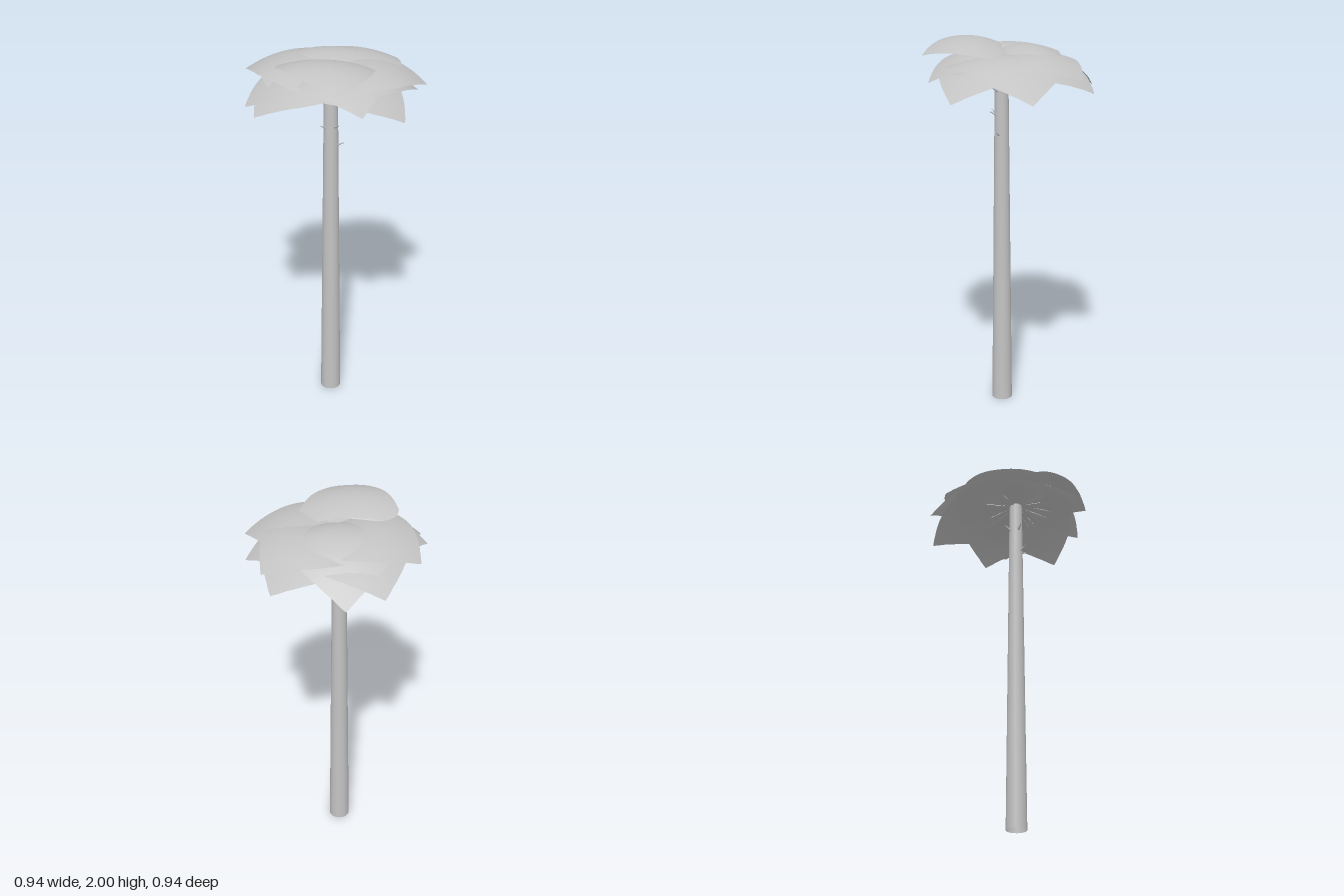
import * as THREE from 'three';

const grey = new THREE.MeshStandardMaterial({ color: 0xc3c3c3, side: THREE.DoubleSide });
grey.name = 'light grey';

const CX = -0.02, CZ = 0.03; // trunk axis

// Heart-shaped leaf outline: [degrees from midrib, radius / length]
const OUTLINE = [[0, 1], [8, 0.92], [16, 0.86], [24, 0.81], [34, 0.765], [50, 0.69],
  [62, 0.66], [72, 0.65], [81, 0.6], [88, 0.5], [93, 0.38], [96, 0.1]];

function outlineRadius(deg) {
  const a = Math.abs(deg);
  for (let i = 1; i < OUTLINE.length; i++) {
    const [a0, r0] = OUTLINE[i - 1], [a1, r1] = OUTLINE[i];
    if (a <= a1) return r0 + (r1 - r0) * (a - a0) / (a1 - a0);
  }
  return OUTLINE[OUTLINE.length - 1][1];
}

// Domed leaf from the crown centre at height y0 to the tip at (tx, ty, tz);
// roll lifts one side, lean makes that side's lobe larger
function leafGeometry(tx, ty, tz, y0, arch, roll = 0, lean = 0) {
  const length = Math.hypot(tx - CX, tz - CZ);
  const heading = Math.atan2(tz - CZ, tx - CX);
  const slope = (ty - y0) / length + arch * length;
  const geo = new THREE.PlaneGeometry(1, 1, 48, 10);
  const pos = geo.attributes.position;
  for (let i = 0; i < pos.count; i++) {
    const deg = pos.getX(i) * 192;
    const phi = THREE.MathUtils.degToRad(deg);
    const edge = length * outlineRadius(deg) * (1 + lean * Math.sin(phi));
    const r = edge * Math.max(pos.getY(i) + 0.5, 0.01);
    const along = r * Math.cos(phi), across = r * Math.sin(phi);
    pos.setXYZ(i,
      CX + r * Math.cos(heading + phi),
      y0 + slope * along - arch * along * along + roll * across - 0.7 * across * across,
      CZ + r * Math.sin(heading + phi));
  }
  geo.computeVertexNormals();
  return geo;
}

// tip x, y, z, base height, arch, roll, lean
const LEAVES = [
  // upper leaves
  [-0.27, 1.92, 0.355, 1.957, 1.25, 0.12, 0.15],
  [0.22, 1.73, -0.41, 1.932, 1.7],
  [-0.22, 1.845, -0.395, 1.922, 1.15],
  [0.47, 1.83, -0.045, 1.9, 1.15],
  [0.34, 1.82, 0.355, 1.905, 1.15],
  // lower leaves
  [-0.475, 1.76, -0.035, 1.9, 1.2],
  [0.04, 1.77, -0.475, 1.895, 1.2],
  [-0.17, 1.80, 0.405, 1.915, 1.6],
  [0.06, 1.73, 0.47, 1.89, 1.25],
  [0.47, 1.755, -0.13, 1.888, 1.15],
  [0.40, 1.74, 0.245, 1.89, 1.25],
  [-0.435, 1.77, -0.15, 1.89, 1.2],
];

// heading in degrees (0 = +x, 90 = +z) and height of each stub
const TWIGS = [[180, 1.58], [100, 1.585], [70, 1.48], [205, 1.71], [85, 1.71], [285, 1.71]];

export function createModel() {
  const group = new THREE.Group();
  group.name = 'palmTree';

  // Tapered hollow trunk
  const trunk = new THREE.Mesh(
    new THREE.CylinderGeometry(0.035, 0.055, 1.9, 20, 1, true), grey);
  trunk.position.set(CX, 0.95, CZ);
  trunk.name = 'trunk';
  group.add(trunk);

  // Crown of overlapping leaves
  const crown = new THREE.Group();
  crown.name = 'crown';
  for (const spec of LEAVES) {
    const leaf = new THREE.Mesh(leafGeometry(...spec), grey);
    leaf.name = 'leaf';
    crown.add(leaf);
  }
  group.add(crown);

  // Short stubs near the top of the trunk
  for (const [deg, y] of TWIGS) {
    const a = THREE.MathUtils.degToRad(deg);
    const dir = new THREE.Vector3(Math.cos(a), 0.55, Math.sin(a)).normalize();
    const twig = new THREE.Mesh(new THREE.CylinderGeometry(0.002, 0.007, 0.06, 6), grey);
    twig.quaternion.setFromUnitVectors(new THREE.Vector3(0, 1, 0), dir);
    twig.position.set(CX, y, CZ).addScaledVector(dir, 0.055);
    twig.name = 'twig';
    group.add(twig);
  }
  return group;
}
